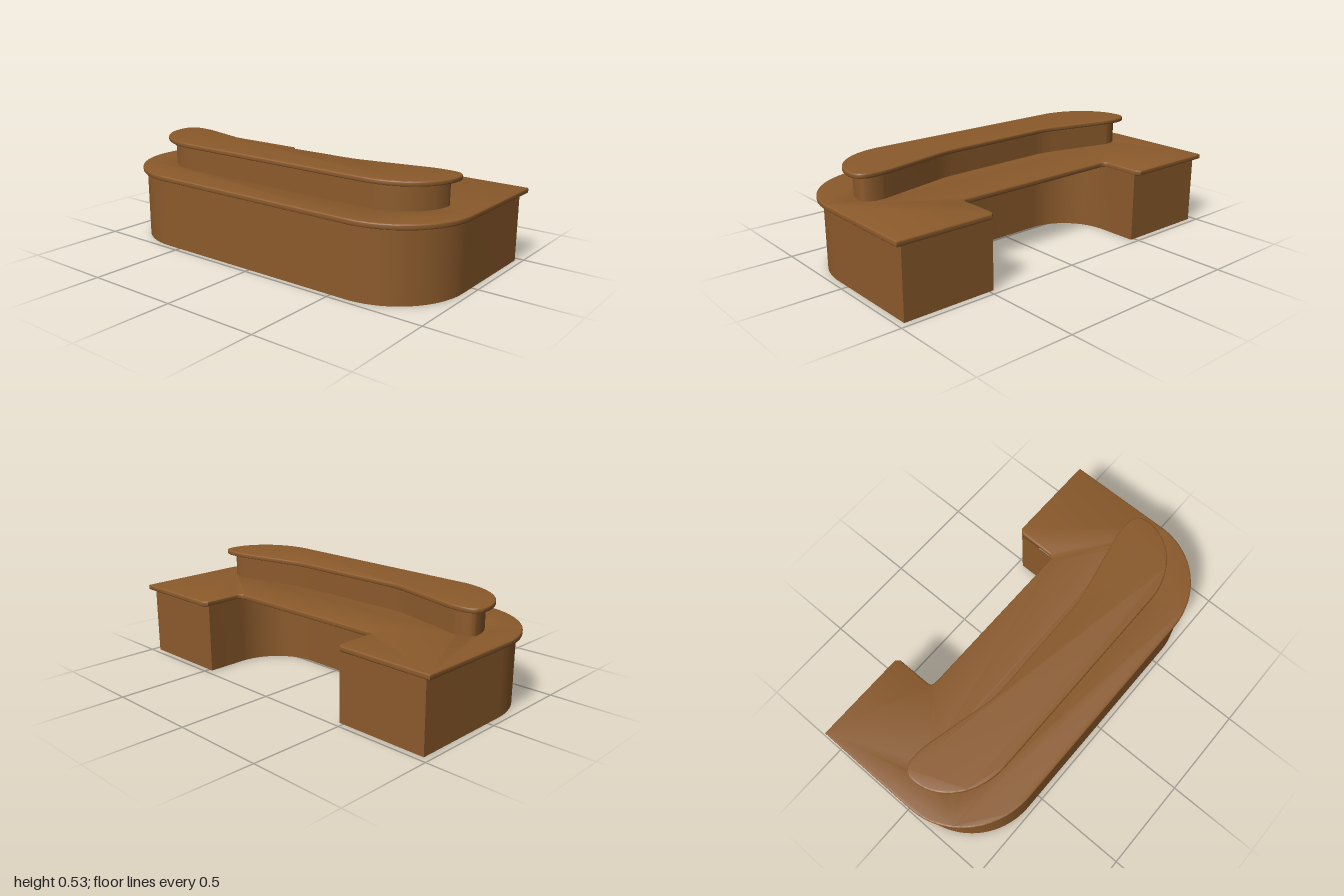
import * as THREE from 'three';
import { toCreasedNormals } from 'three/addons/utils/BufferGeometryUtils.js';

const HALF_PI = Math.PI / 2;

// All outlines are drawn as (x, z).
// Adds the straight front edge with its two elliptical corners, from +x to -x.
function frontSweep(s, halfWidth, front, flat, startZ) {
  const rx = halfWidth - flat, rz = front - startZ;
  s.absellipse(flat, startZ, rx, rz, 0, HALF_PI, false);
  s.lineTo(-flat, front);
  s.absellipse(-flat, startZ, rx, rz, HALF_PI, Math.PI, false);
}

// Counter outline with a square notch at the back
function counterOutline() {
  const s = new THREE.Shape();
  s.moveTo(1, -0.49);
  s.lineTo(1, 0.085);
  frontSweep(s, 1, 0.487, 0.58, 0.085);
  s.lineTo(-1, -0.49);
  s.lineTo(-0.5, -0.49);
  s.lineTo(-0.48, -0.47);
  s.lineTo(-0.48, -0.285);
  s.quadraticCurveTo(-0.48, -0.252, -0.447, -0.252);
  s.lineTo(0.447, -0.252);
  s.quadraticCurveTo(0.48, -0.252, 0.48, -0.285);
  s.lineTo(0.48, -0.47);
  s.lineTo(0.5, -0.49);
  s.closePath();
  return s;
}

// Base outline: the knee recess runs deeper than the counter notch
function baseOutline() {
  const s = new THREE.Shape();
  const r = 0.27, x = 0.477, z = 0.01;
  s.moveTo(0.966, -0.468);
  s.lineTo(0.966, 0.085);
  frontSweep(s, 0.966, 0.473, 0.58, 0.085);
  s.lineTo(-0.966, -0.468);
  s.lineTo(-x, -0.468);
  s.lineTo(-x, z - r);
  s.absarc(-x + r, z - r, r, Math.PI, HALF_PI, true);
  s.lineTo(x - r, z);
  s.absarc(x - r, z - r, r, HALF_PI, 0, true);
  s.lineTo(x, -0.468);
  s.closePath();
  return s;
}

// Raised shelf outline with a bent back edge, shrunk by inset
function shelfOutline(inset, sideInset = inset) {
  const w = 0.9 - sideInset, b = inset;
  const s = new THREE.Shape();
  s.moveTo(w, 0.04);
  frontSweep(s, w, 0.325 - b, 0.56, 0.04);
  s.bezierCurveTo(-w, -0.02 + b, -w + 0.04, -0.036 + b, -0.81 + sideInset, -0.036 + b);
  s.quadraticCurveTo(-0.76, -0.036 + b, -0.71, -0.024 + b);
  s.lineTo(-0.41, 0.049 + b);
  s.quadraticCurveTo(-0.35, 0.064 + b, -0.29, 0.063 + b);
  s.lineTo(0.28, 0.052 + b);
  s.quadraticCurveTo(0.34, 0.05 + b, 0.4, 0.036 + b);
  s.lineTo(0.7, -0.027 + b);
  s.quadraticCurveTo(0.76, -0.038 + b, 0.81 - sideInset, -0.036 + b);
  s.bezierCurveTo(w - 0.04, -0.036 + b, w, -0.02 + b, w, 0.04);
  return s;
}

// Horizontal board with rounded edges
function board(shape, bottom, top, bevel) {
  const geo = new THREE.ExtrudeGeometry(shape, {
    depth: top - bottom - 2 * bevel, curveSegments: 20,
    bevelEnabled: true, bevelThickness: bevel, bevelSize: bevel,
    bevelOffset: -bevel, bevelSegments: 3,
  });
  geo.rotateX(HALF_PI);
  geo.translate(0, top - bevel, 0);
  return toCreasedNormals(geo, 0.6);
}

// Thin upright wall following a closed outline
function wall(shape, bottom, top) {
  const pts = shape.getPoints(20);
  const pos = [];
  for (let i = 0; i < pts.length; i++) {
    const a = pts[i], b = pts[(i + 1) % pts.length];
    if (a.distanceTo(b) < 1e-5) continue;
    pos.push(a.x, bottom, a.y, a.x, top, a.y, b.x, top, b.y);
    pos.push(a.x, bottom, a.y, b.x, top, b.y, b.x, bottom, b.y);
  }
  const geo = new THREE.BufferGeometry();
  geo.setAttribute('position', new THREE.Float32BufferAttribute(pos, 3));
  return toCreasedNormals(geo, 0.6);
}

export function createModel() {
  const wood = new THREE.MeshStandardMaterial({ color: 0x8b5a2b, side: THREE.DoubleSide });
  wood.name = 'brown wood';
  const group = new THREE.Group();
  group.name = 'receptionDesk';
  const add = (name, geo) => {
    const mesh = new THREE.Mesh(geo, wood);
    mesh.name = name;
    group.add(mesh);
  };

  // The counter is open under the shelf wall, leaving the desk hollow
  const counter = counterOutline();
  counter.holes.push(new THREE.Path(shelfOutline(0.038, 0.058).getPoints(12)));

  add('baseWall', wall(baseOutline(), 0, 0.362));
  add('counterTop', board(counter, 0.357, 0.385, 0.007));
  add('shelfWall', wall(shelfOutline(0.03, 0.05), 0.36, 0.515));
  add('shelfTop', board(shelfOutline(0), 0.509, 0.534, 0.007));
  return group;
}
